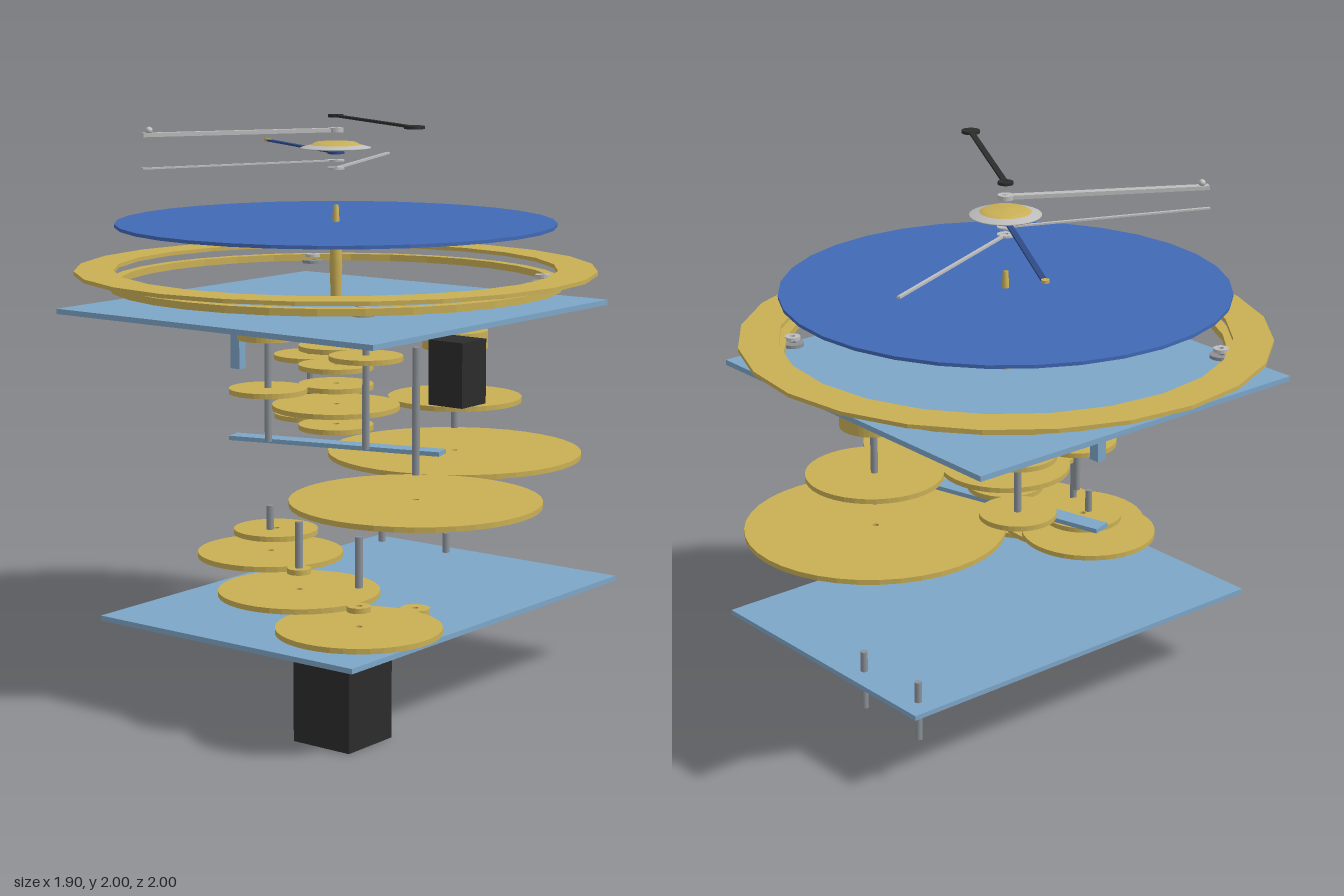
import * as THREE from 'three';

const AX = 0.015, AZ = -0.065; // main vertical axis of the dial

export function createModel() {
  const model = new THREE.Group();
  model.name = 'explodedAstronomicalClock';

  const material = (name, color) => {
    const m = new THREE.MeshStandardMaterial({ color });
    m.name = name;
    return m;
  };
  const gold = material('brass', 0xc9af55);
  const blue = material('dialBlue', 0x4169b5);
  const paleBlue = material('plateBlue', 0x7da6c8);
  const black = material('black', 0x2c2c2c);
  const steel = material('steel', 0x8b9197);
  const silver = material('silver', 0xbdbdbd);
  const navy = material('pointerBlue', 0x2f4a86);

  function add(name, geometry, mat, x, y, z) {
    const mesh = new THREE.Mesh(geometry, mat);
    mesh.name = name;
    mesh.position.set(x, y, z);
    model.add(mesh);
    return mesh;
  }

  // Flat horizontal disc with a round hole, centred on height y
  function disc(name, mat, x, y, z, r, hole, h, sides = 40) {
    const shape = new THREE.Shape().absarc(0, 0, r, 0, Math.PI * 2, false);
    if (hole) shape.holes.push(new THREE.Path().absarc(0, 0, hole, 0, Math.PI * 2, true));
    const geo = new THREE.ExtrudeGeometry(shape, { depth: h, bevelEnabled: false, curveSegments: sides / 2 });
    geo.translate(0, 0, -h / 2).rotateX(-Math.PI / 2);
    return add(name, geo, mat, x, y, z);
  }

  const box = (name, mat, x0, x1, y0, y1, z0, z1) =>
    add(name, new THREE.BoxGeometry(x1 - x0, y1 - y0, z1 - z0), mat,
      (x0 + x1) / 2, (y0 + y1) / 2, (z0 + z1) / 2);

  const rod = (name, x, z, y0, y1, r = 0.013) =>
    add(name, new THREE.CylinderGeometry(r, r, y1 - y0, 12), steel, x, (y0 + y1) / 2, z);

  // Horizontal strip between two points
  function strip(name, mat, x0, z0, x1, z1, y, w, h) {
    const dx = x1 - x0, dz = z1 - z0;
    const m = add(name, new THREE.BoxGeometry(w, h, Math.hypot(dx, dz)), mat, (x0 + x1) / 2, y, (z0 + z1) / 2);
    m.rotation.y = Math.atan2(dx, dz);
    return m;
  }

  // Plates and motor blocks
  box('upperPlate', paleBlue, -0.685, 0.715, 1.306, 1.325, -0.767, 0.635);
  box('lowerPlate', paleBlue, -0.885, 0.69, 0.296, 0.314, -0.387, 0.705);
  box('upperMotor', black, -0.425, -0.29, 1.1, 1.315, 0.665, 0.8);
  box('lowerMotor', black, -0.81, -0.58, 0, 0.27, 0.405, 0.635);

  // Dial and rings
  disc('dial', blue, AX, 1.615, AZ, 0.785, 0.012, 0.012, 32);
  disc('outerRing', gold, AX, 1.45, AZ, 0.93, 0.79, 0.014, 24);
  disc('innerRing', gold, AX, 1.405, AZ, 0.81, 0.77, 0.025, 32);

  // Rollers under the inner ring
  for (const sx of [-1, 1]) for (const sz of [-1, 1]) {
    const x = AX + sx * 0.53, z = AZ + sz * 0.53;
    disc('ringRoller', steel, x, 1.392, z, 0.04, 0.012, 0.012, 16);
    disc('rollerCap', silver, x, 1.415, z, 0.028, 0.01, 0.012, 16);
  }

  // Tapered central arbor
  const arbor = [[0, 1.275], [0.009, 1.275], [0.009, 1.31], [0.017, 1.315], [0.023, 1.46],
    [0.021, 1.52], [0.014, 1.6], [0.01, 1.68], [0, 1.682]].map(p => new THREE.Vector2(...p));
  add('centralArbor', new THREE.LatheGeometry(arbor, 16), gold, AX, 0, AZ);

  // Upper gear train: meshing pairs on shared arbors
  const A = [AX, AZ], B = [0.15, -0.29], C = [-0.21, -0.195], D = [-0.115, 0.17], E = [0.42, 0.17], F = [-0.37, 0.575];
  const gears = [
    [A, 1.245, 0.135], [D, 1.245, 0.13], [A, 1.17, 0.135], [D, 1.17, 0.13],
    [A, 1.1, 0.135], [B, 1.1, 0.135], [A, 1.03, 0.135], [C, 1.03, 0.14],
    [A, 0.955, 0.23], [E, 0.955, 0.245], [A, 0.882, 0.135], [B, 0.882, 0.135],
    [E, 0.752, 0.465], [F, 0.752, 0.425],
  ];
  for (const [[x, z], y, r] of gears) disc('gear', gold, x, y, z, r, 0.012, 0.018);
  for (const [x, z] of [B, C, D, E, F]) rod('gearArbor', x, z, 0.845, 1.275);
  disc('drum', gold, B[0], 1.247, B[1], 0.11, 0.012, 0.065);
  disc('drum', gold, C[0], 1.247, C[1], 0.11, 0.012, 0.065);
  disc('drum', gold, E[0], 1.175, E[1], 0.12, 0.012, 0.065);

  // Bridge and its two pillars
  strip('bridge', paleBlue, AX + 0.106, AZ + 0.396, AX - 0.106, AZ - 0.396, 0.815, 0.07, 0.016);
  for (const s of [-1, 1]) {
    add('bridgePillar', new THREE.BoxGeometry(0.036, 0.205, 0.042), paleBlue,
      AX + s * 0.1, 1.172, AZ + s * 0.375);
  }

  // Lower gear train with pinions
  const G = [-0.68, 0.575], H = [-0.625, 0.28], J = [-0.485, 0.04];
  const lower = [
    [F, 0.38, 0.05], [G, 0.38, 0.275], [G, 0.45, 0.04], [H, 0.45, 0.272],
    [H, 0.523, 0.04], [J, 0.523, 0.25], [[-0.455, 0.04], 0.597, 0.145],
  ];
  for (const [[x, z], y, r] of lower) disc('lowerGear', gold, x, y, z, r, 0.012, 0.018);
  rod('lowerArbor', ...G, 0.52, 0.69);
  rod('lowerArbor', ...H, 0.52, 0.69);
  rod('lowerArbor', ...J, 0.6, 0.69);
  rod('platePost', 0.615, -0.005, 0.17, 0.39);
  rod('platePost', 0.615, -0.31, 0.17, 0.39);

  // Thin pointers over the dial
  disc('pointerHub', silver, AX, 1.81, AZ, 0.03, 0.01, 0.008, 20);
  strip('rightPointer', silver, AX, AZ, 0.712, -0.357, 1.81, 0.012, 0.008);
  disc('pointerHub', silver, AX, 1.838, AZ, 0.03, 0.01, 0.006, 20);
  strip('leftPointer', silver, AX, AZ, -0.68, -0.355, 1.838, 0.012, 0.006);
  disc('pointerHub', navy, AX, 1.865, AZ, 0.03, 0.01, 0.008, 20);
  strip('bluePointer', navy, AX, AZ, 0.355, -0.655, 1.865, 0.02, 0.007);
  disc('pointerTip', gold, 0.356, 1.866, -0.66, 0.014, 0, 0.01, 16);

  // Central boss: silver skirt with brass dome
  const skirt = [[0, 1.88], [0.125, 1.88], [0.125, 1.884], [0.09, 1.893]].map(p => new THREE.Vector2(...p));
  add('bossSkirt', new THREE.LatheGeometry(skirt, 28), silver, AX, 0, AZ);
  const dome = [[0.092, 1.892], [0.07, 1.903], [0, 1.907]].map(p => new THREE.Vector2(...p));
  add('bossDome', new THREE.LatheGeometry(dome, 28), gold, AX, 0, AZ);

  // Silver hand with a small ball
  disc('silverHandHub', silver, AX, 1.945, AZ, 0.028, 0.01, 0.016, 20);
  strip('silverHand', silver, AX, AZ, -0.6, -0.425, 1.945, 0.03, 0.014);
  add('handBall', new THREE.SphereGeometry(0.013, 12, 8), silver, -0.58, 1.96, -0.412);

  // Black hand with a round tip
  disc('blackHandHub', black, AX, 2 - 0.005, AZ, 0.027, 0.008, 0.01, 20);
  strip('blackHand', black, AX, AZ, -0.325, 0.53, 1.995, 0.02, 0.008);
  disc('blackHandTip', black, -0.325, 1.995, 0.53, 0.034, 0, 0.01, 20);

  return model;
}
